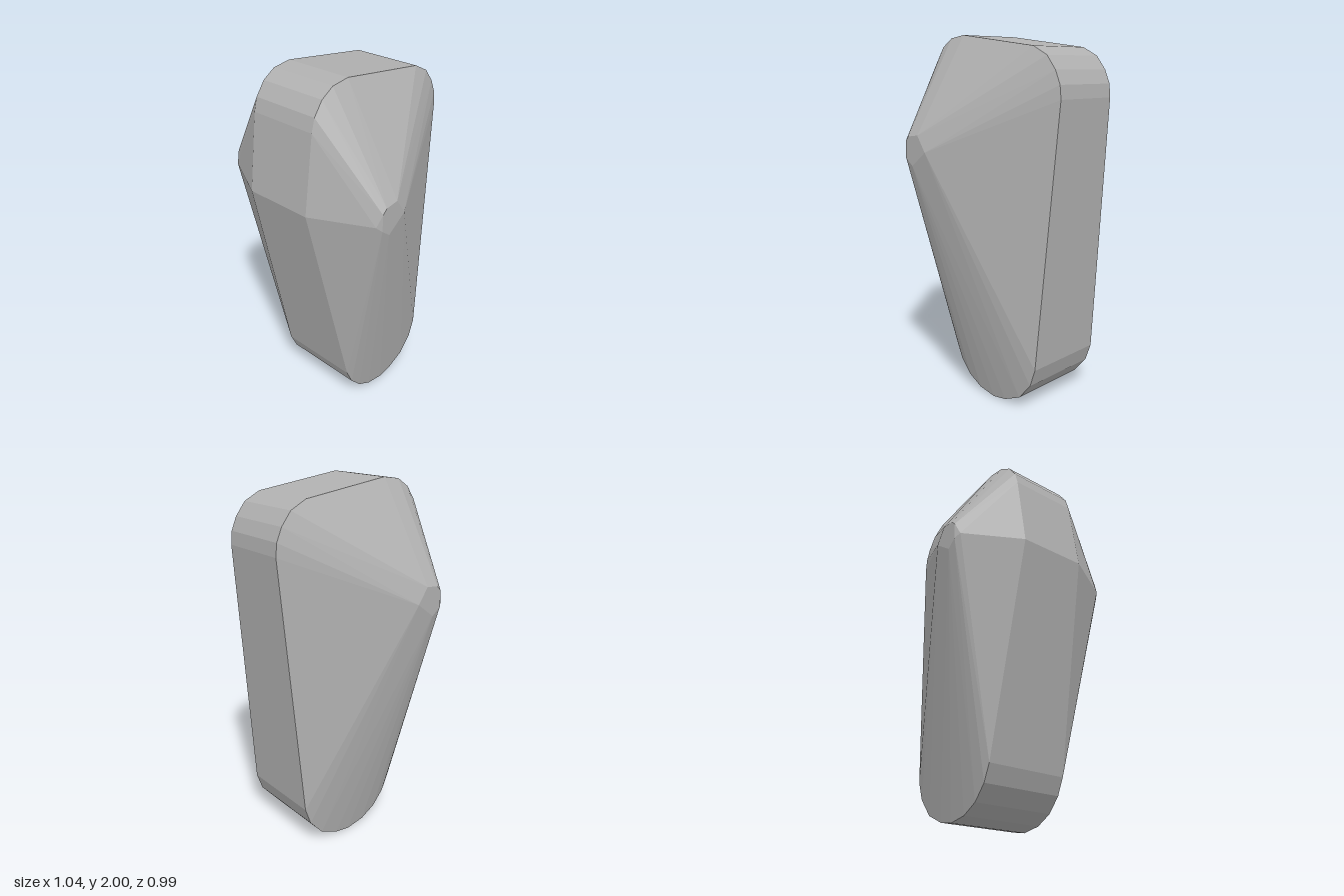
import * as THREE from 'three';
import { ConvexGeometry } from 'three/addons/geometries/ConvexGeometry.js';

// Outlines in the side plane, as [z, y], each at a half width x
const outlines = [
  // rounded top and shoulder at the back
  { x: 0.195, points: [[0.44, 1.8], [0.42, 1.87], [0.37, 1.94], [0.3, 1.985], [0.2, 2],
    [-0.31, 1.935], [-0.4, 1.89], [-0.455, 1.82], [-0.485, 1.75], [-0.492, 1.68]] },
  // front ridge
  { x: 0.195, points: [[0.497, 1.39]] },
  // side bosses
  { x: 0.518, points: [[0.31, 1.45], [0.285, 1.475], [0.21, 1.485], [0.152, 1.4], [0.26, 1.32], [0.312, 1.36]] },
  { x: 0.5, points: [[0.338, 1.385]] },
  // rounded foot
  { x: 0.238, points: [[-0.375, 0.26], [-0.34, 0.16], [-0.26, 0.065], [-0.15, 0.015], [-0.06, 0],
    [0.05, 0.02], [0.14, 0.07], [0.21, 0.15], [0.25, 0.24]] },
];

export function createModel() {
  const group = new THREE.Group();
  group.name = 'taperedBlock';
  const grey = new THREE.MeshStandardMaterial({ color: 0xb0b0b0 });
  grey.name = 'grey';

  // Faceted shell stretched over the mirrored outlines
  const corners = [];
  for (const { x, points } of outlines)
    for (const [z, y] of points)
      for (const side of [-1, 1]) corners.push(new THREE.Vector3(side * x, y, z));

  const body = new THREE.Mesh(new ConvexGeometry(corners), grey);
  body.name = 'body';
  group.add(body);
  return group;
}
